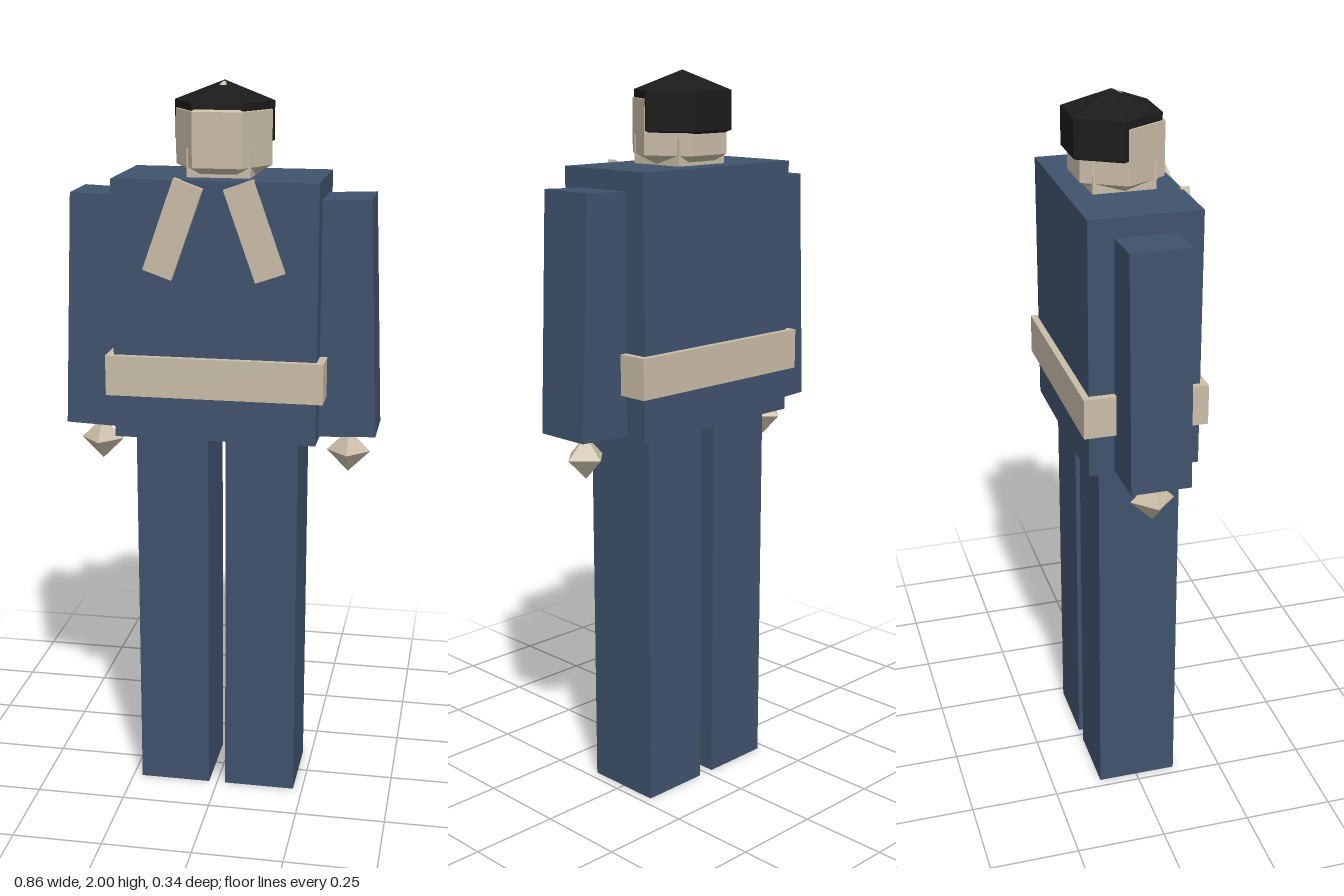
import * as THREE from 'three';

const flat = (name, color) => {
  const m = new THREE.MeshStandardMaterial({ color, flatShading: true });
  m.name = name;
  return m;
};

export function createModel() {
  const cloth = flat('blue cloth', 0x40526d);
  const skin = flat('pale beige', 0xcabda8);
  const black = flat('black hair', 0x1b1b1b);
  const group = new THREE.Group();

  const add = (name, geometry, material, x, y, z) => {
    const mesh = new THREE.Mesh(geometry, material);
    mesh.name = name;
    mesh.position.set(x, y, z);
    group.add(mesh);
    return mesh;
  };
  const box = (w, h, d) => new THREE.BoxGeometry(w, h, d);
  // six-sided blob: two rings and two poles
  const hexBlob = (r, halfHeight) => new THREE.SphereGeometry(r, 6, 3).scale(1, halfHeight / r, 1);

  // body
  add('torso', box(0.55, 0.7, 0.3), cloth, 0, 1.405, 0);
  add('belt', box(0.59, 0.11, 0.336), skin, 0, 1.23, 0);
  add('neck', box(0.17, 0.12, 0.17), skin, 0, 1.77, 0);

  // head with hair set slightly to the back
  add('head', hexBlob(0.15, 0.144), skin, 0, 1.854, 0);
  add('hair', hexBlob(0.155, 0.103), black, 0, 1.897, -0.012);

  // mirrored parts
  for (const [side, s] of [['left', 1], ['right', -1]]) {
    add(side + 'Leg', box(0.2, 1.055, 0.225), cloth, s * 0.124, 0.5275, 0.002);
    add(side + 'Arm', box(0.16, 0.64, 0.162), cloth, s * 0.337, 1.385, 0).rotation.z = s * 0.04;
    add(side + 'Hand', new THREE.OctahedronGeometry(0.06), skin, s * 0.35, 1.003, 0);
    add(side + 'ScarfEnd', box(0.082, 0.255, 0.024), skin, s * 0.108, 1.628, 0.155).rotation.z = s * 0.34;
  }
  return group;
}
